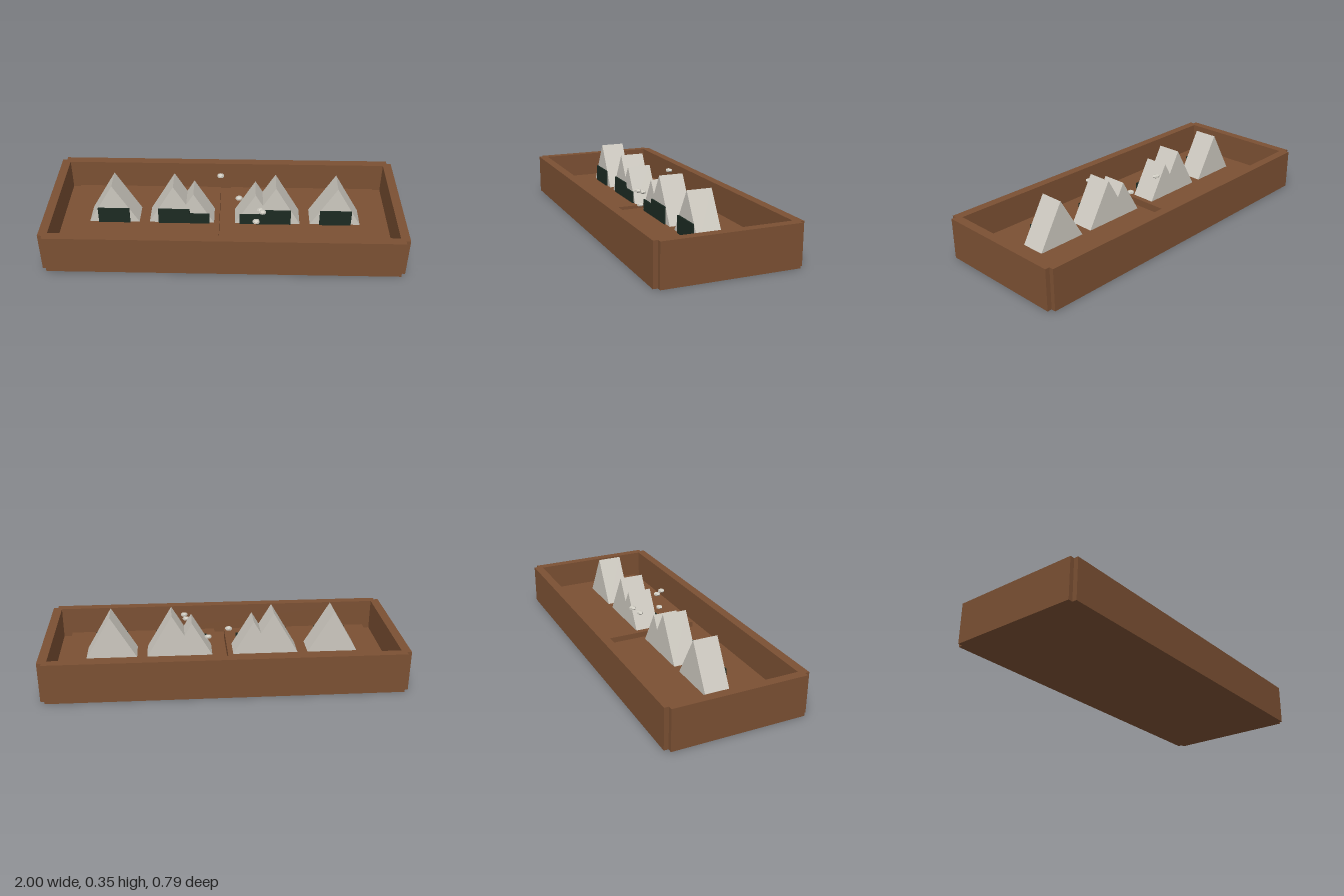
import * as THREE from 'three';

export function createModel() {
  const model = new THREE.Group();
  const makeMaterial = (name, color) => {
    const m = new THREE.MeshStandardMaterial({ color });
    m.name = name;
    return m;
  };
  const wood = makeMaterial('brown wood', 0x7b5033);
  const stone = makeMaterial('pale stone', 0xccc8bf);
  const dark = makeMaterial('dark green', 0x1c2a22);
  const pebbleGrey = makeMaterial('pebble grey', 0xd0cdc3);
  pebbleGrey.flatShading = true;

  const add = (name, geometry, material, x, y, z) => {
    const mesh = new THREE.Mesh(geometry, material);
    mesh.name = name;
    mesh.position.set(x, y, z);
    model.add(mesh);
    return mesh;
  };
  // Box given by its centre in plan and its bottom and top heights
  const slab = (name, material, x, z, w, d, y0, y1) =>
    add(name, new THREE.BoxGeometry(w, y1 - y0, d), material, x, (y0 + y1) / 2, z);

  // Tray: base, four walls with notched corners, two raised beds with gutters
  const floorY = 0.1;
  slab('trayBase', wood, 0, 0, 1.95, 0.74, 0, 0.05);
  for (const s of [-1, 1]) {
    slab('longWall', wood, 0, s * 0.37, 1.95, 0.05, 0, 0.23);
    slab('endWall', wood, s * 0.975, 0, 0.05, 0.74, 0, 0.23);
    slab('raisedBed', wood, s * 0.46, 0, 0.86, 0.57, 0.05, floorY);
  }

  // Triangular prism standing on the bed, with a dark panel on its front
  const peak = (x, halfWidth, height, panelHeight) => {
    const shape = new THREE.Shape();
    shape.moveTo(-halfWidth, 0);
    shape.lineTo(halfWidth, 0);
    shape.lineTo(0, height);
    shape.closePath();
    const prism = new THREE.ExtrudeGeometry(shape, { depth: 0.138, bevelEnabled: false });
    add('peak', prism, stone, x, floorY, -0.069);
    slab('frontPanel', dark, x, 0.0735, 0.18, 0.009, floorY, floorY + panelHeight);
  };
  for (const s of [-1, 1]) {
    peak(s * 0.632, 0.143, 0.246, 0.096);
    peak(s * 0.288, 0.143, 0.246, 0.096);
    peak(s * 0.175, 0.115, 0.198, 0.066);
  }

  // Loose flattened pebbles
  const pebbles = [
    [-0.027, 0.291, -0.13], [0.082, 0.2, -0.037], [0.18, 0.165, 0.135],
    [0.203, 0.242, 0.131], [0.213, 0.254, 0.163],
  ];
  for (const [x, y, z] of pebbles) {
    add('pebble', new THREE.DodecahedronGeometry(0.021), pebbleGrey, x, y, z).scale.y = 0.55;
  }
  return model;
}
